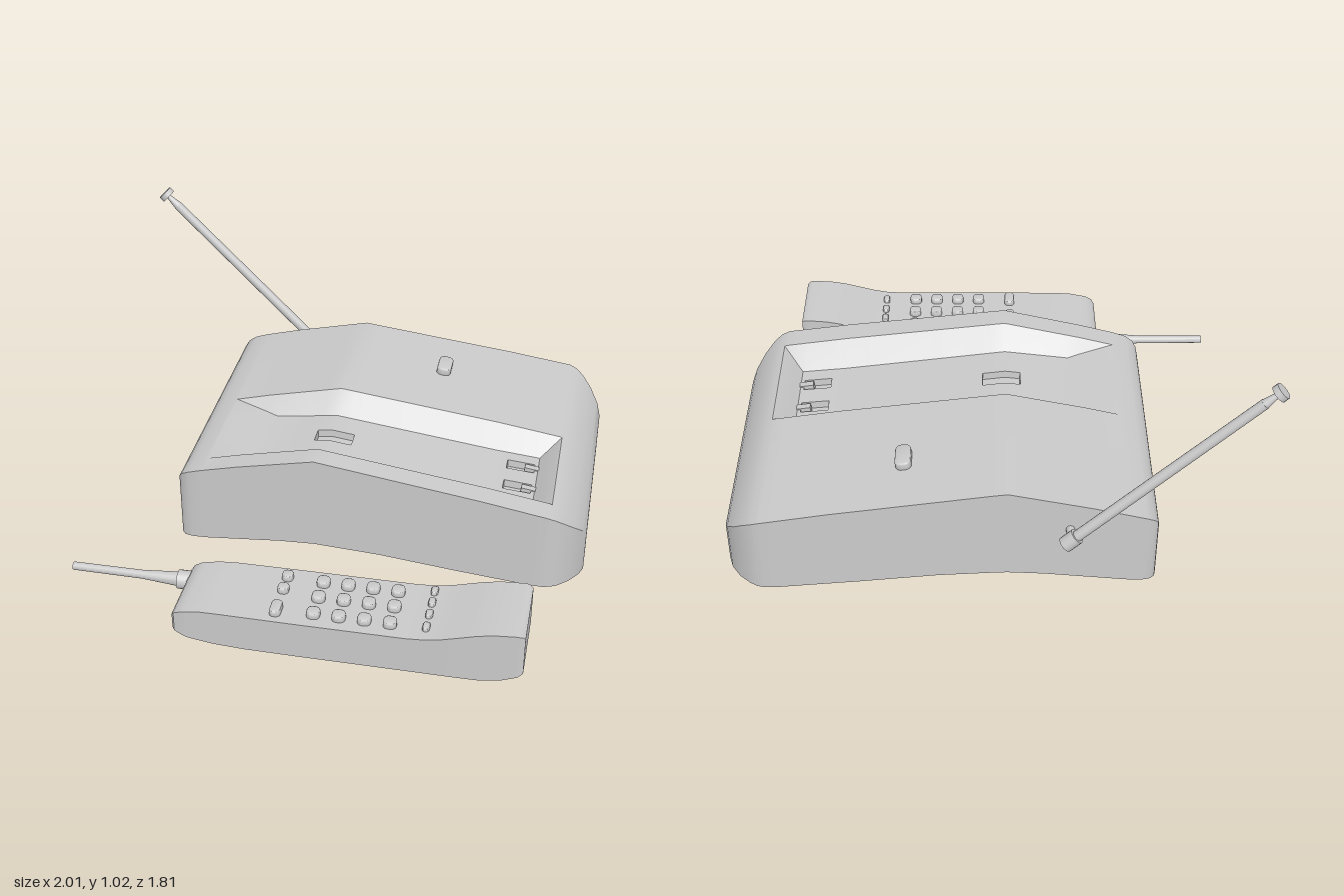
import * as THREE from 'three';
import { toCreasedNormals } from 'three/addons/utils/BufferGeometryUtils.js';

const material = new THREE.MeshStandardMaterial({ color: 0xcccccc });

function add(parent, name, geometry, x = 0, y = 0, z = 0) {
  const mesh = new THREE.Mesh(geometry, material);
  mesh.name = name;
  mesh.position.set(x, y, z);
  parent.add(mesh);
  return mesh;
}

// Piecewise linear value of a table of [x, value] pairs
function at(table, x) {
  if (x <= table[0][0]) return table[0][1];
  for (let i = 1; i < table.length; i++) {
    const [x0, v0] = table[i - 1], [x1, v1] = table[i];
    if (x <= x1) return v0 + (v1 - v0) * (x - x0) / (x1 - x0);
  }
  return table[table.length - 1][1];
}

// Skin along x over rings of [z, y] (back bottom, over the top, front bottom)
function loft(xs, section, crease) {
  const rings = xs.map((x) => section(x).map(([z, y]) => [x, y, z]));
  const n = rings[0].length, pos = [];
  const tri = (a, b, c) => pos.push(...a, ...b, ...c);
  for (let s = 0; s + 1 < rings.length; s++) {
    for (let i = 0; i < n; i++) {
      const j = (i + 1) % n, p = rings[s], q = rings[s + 1];
      tri(p[i], p[j], q[i]);
      tri(p[j], q[j], q[i]);
    }
  }
  for (const [ring, last] of [[rings[0], false], [rings[rings.length - 1], true]]) {
    const ys = ring.map((p) => p[1]), zs = ring.map((p) => p[2]);
    const mid = (v) => (Math.min(...v) + Math.max(...v)) / 2;
    const centre = [ring[0][0], mid(ys), mid(zs)];
    for (let i = 0; i < n; i++) {
      const a = ring[i], b = ring[(i + 1) % n];
      if (last) tri(centre, a, b); else tri(centre, b, a);
    }
  }
  const g = new THREE.BufferGeometry();
  g.setAttribute('position', new THREE.Float32BufferAttribute(pos, 3));
  return toCreasedNormals(g, crease);
}

// Base outline tables
const top = [[-0.62, 0.28], [-0.615, 0.305], [-0.6, 0.328], [-0.57, 0.345], [-0.52, 0.361], [-0.37, 0.4],
  [-0.06, 0.47], [0.6, 0.385], [0.85, 0.347], [0.88, 0.335], [0.91, 0.315], [0.95, 0.275], [0.985, 0.23], [1, 0.195]];
const bottom = [[-0.62, 0.03], [-0.5, 0.038], [-0.2, 0.07], [-0.06, 0.078], [0.2, 0.068], [0.5, 0.042], [0.8, 0.02], [1, 0.02]];
const front = [[-0.62, 0.255], [-0.615, 0.277], [-0.6, 0.293], [-0.57, 0.303], [-0.52, 0.306], [0.85, 0.34],
  [0.88, 0.333], [0.91, 0.317], [0.95, 0.28], [0.985, 0.23], [1, 0.19]];
const back = [[-0.62, -0.77], [-0.615, -0.79], [-0.6, -0.805], [-0.57, -0.814], [-0.52, -0.817], [0, -0.818],
  [0.85, -0.835], [0.88, -0.828], [0.91, -0.81], [0.95, -0.775], [0.985, -0.725], [1, -0.68]];
// Cradle trough: depth below the top, and how far its floor narrows
const depth = [[-0.51, 0], [-0.32, 0.065], [-0.06, 0.09], [0.6, 0.09], [0.78, 0.08], [0.86, 0]];
const inset = [[-0.51, 0], [-0.32, 1], [0.78, 1], [0.86, 0]];
// Small pockets sunk into the cradle floor: x0, x1, z0, z1
const pockets = [[-0.12, 0.03, -0.056, 0.018], [0.655, 0.765, -0.115, -0.058], [0.655, 0.765, 0.03, 0.088]];
const E = 0.001;

function baseGeometry() {
  const xs = [top, bottom, front, back, depth].flatMap((t) => t.map((p) => p[0]));
  pockets.forEach(([a, b]) => xs.push(a - E, a + E, b - E, b + E));
  const stations = [...new Set(xs)].sort((a, b) => a - b);
  const cuts = pockets.flatMap(([, , a, b]) => [a - E, a + E, b - E, b + E]).sort((a, b) => a - b);
  const section = (x) => {
    const y = at(top, x), y0 = at(bottom, x), f = at(front, x), b = at(back, x);
    const t = at(inset, x), floor = y - at(depth, x);
    const rim = Math.min(f - 0.01, 0.217 + 0.017 * (x + 0.51));
    const floorF = Math.min(rim, rim + (0.15 - rim) * t);
    const sunk = (z) => pockets.some((p) => x > p[0] && x < p[1] && z > p[2] && z < p[3]);
    return [[b, y0], [b, y], [-0.24, y], [-0.24 + 0.07 * t, floor],
      ...cuts.map((z) => [z, floor - (sunk(z) ? 0.03 : 0)]),
      [floorF, floor], [rim, y], [f, y], [f, y0]];
  };
  return loft(stations, section, 0.6);
}

// Handset side and plan profiles
const hTop = [[-0.48, 0.105], [-0.47, 0.12], [-0.44, 0.134], [-0.37, 0.147], [-0.3, 0.15], [0.4, 0.152], [0.47, 0.157],
  [0.53, 0.168], [0.6, 0.188], [0.66, 0.205], [0.72, 0.216], [0.8, 0.222], [0.82, 0.219], [0.83, 0.21]];
const hBottom = [[-0.48, 0.045], [-0.47, 0.037], [-0.42, 0.017], [-0.33, 0.006], [-0.2, 0], [0.68, 0], [0.75, 0.012], [0.81, 0.035], [0.83, 0.05]];
const hHalf = [[-0.48, 0.135], [-0.47, 0.146], [-0.44, 0.152], [-0.3, 0.157], [0, 0.159], [0.6, 0.159], [0.81, 0.155], [0.82, 0.152], [0.83, 0.147]];

function handsetGeometry() {
  const xs = [hTop, hBottom, hHalf].flatMap((t) => t.map((p) => p[0]));
  const stations = [...new Set(xs)].sort((a, b) => a - b);
  return loft(stations, (x) => {
    const y1 = at(hTop, x), y0 = at(hBottom, x), h = at(hHalf, x), c = 0.742;
    return [[c - h, y0], [c - h, y1], [c + h, y1], [c + h, y0]];
  }, 0.6);
}

// Rounded key, w along x, d along z, standing on y = 0
function keyGeometry(w, d, h) {
  const bevel = 0.006, a = w / 2 - bevel, b = d / 2 - bevel, r = Math.min(a, b) * 0.75;
  const s = new THREE.Shape();
  s.moveTo(-a + r, -b);
  s.absarc(a - r, -b + r, r, -Math.PI / 2, 0);
  s.absarc(a - r, b - r, r, 0, Math.PI / 2);
  s.absarc(-a + r, b - r, r, Math.PI / 2, Math.PI);
  s.absarc(-a + r, -b + r, r, Math.PI, Math.PI * 1.5);
  const g = new THREE.ExtrudeGeometry(s, { depth: h - bevel, bevelThickness: bevel, bevelSize: bevel, bevelSegments: 2, curveSegments: 4 });
  return toCreasedNormals(g.rotateX(-Math.PI / 2), 0.8);
}

export function createModel() {
  const model = new THREE.Group();
  model.name = 'cordlessPhone';

  // Base station with cradle
  const base = new THREE.Group();
  base.name = 'baseStation';
  model.add(base);
  add(base, 'baseBody', baseGeometry());
  add(base, 'pageButton', keyGeometry(0.06, 0.115, 0.035), 0.325, 0.415, -0.57).rotation.z = -0.13;
  for (const z of [-0.0865, 0.059]) {
    add(base, 'chargingContact', new THREE.BoxGeometry(0.06, 0.03, 0.028), 0.755, 0.27, z).rotation.z = -0.15;
  }

  // Telescopic antenna leaning to the side behind the base
  add(base, 'antennaMount', new THREE.CylinderGeometry(0.016, 0.016, 0.08, 16).rotateX(Math.PI / 2), -0.29, 0.3, -0.84);
  const antenna = new THREE.Group();
  antenna.name = 'baseAntenna';
  antenna.position.set(-0.29, 0.3, -0.877);
  antenna.rotation.z = Math.PI / 4;
  base.add(antenna);
  add(antenna, 'antennaKnuckle', new THREE.CylinderGeometry(0.03, 0.03, 0.06, 20));
  add(antenna, 'antennaRod', new THREE.CylinderGeometry(0.019, 0.021, 0.9, 16), 0, 0.45);
  add(antenna, 'antennaNeck', new THREE.CylinderGeometry(0.009, 0.018, 0.06, 16), 0, 0.93);
  add(antenna, 'antennaTip', new THREE.CylinderGeometry(0.032, 0.032, 0.024, 20), 0, 0.968);

  // Handset lying in front of the base
  const handset = new THREE.Group();
  handset.name = 'handset';
  model.add(handset);
  add(handset, 'handsetBody', handsetGeometry());
  const key = (name, x, z, w, d) => add(handset, name, keyGeometry(w, d, 0.03), x, at(hTop, x) - 0.006, z);
  for (const x of [0.05, 0.145, 0.24, 0.335]) {
    for (const z of [0.65, 0.74, 0.835]) key('numberKey', x, z, 0.05, 0.052);
  }
  key('functionKey', -0.09, 0.64, 0.042, 0.046);
  key('functionKey', -0.09, 0.716, 0.042, 0.046);
  key('talkKey', -0.09, 0.835, 0.042, 0.075);
  for (const z of [0.623, 0.691, 0.759, 0.833]) {
    add(handset, 'smallKey', keyGeometry(0.027, 0.045, 0.02), 0.468, at(hTop, 0.468) - 0.006, z);
  }

  // Flexible handset antenna: collar, tapered sleeve and rod
  const aerial = [[0, -0.44], [0.037, -0.44], [0.037, -0.525], [0.028, -0.525], [0.017, -0.67], [0.016, -0.95], [0, -0.95]]
    .map(([r, x]) => new THREE.Vector2(r, -x));
  const aerialGeometry = toCreasedNormals(new THREE.LatheGeometry(aerial, 20).rotateZ(Math.PI / 2), 0.6);
  add(handset, 'handsetAntenna', aerialGeometry, 0, 0.077, 0.637);

  return model;
}
